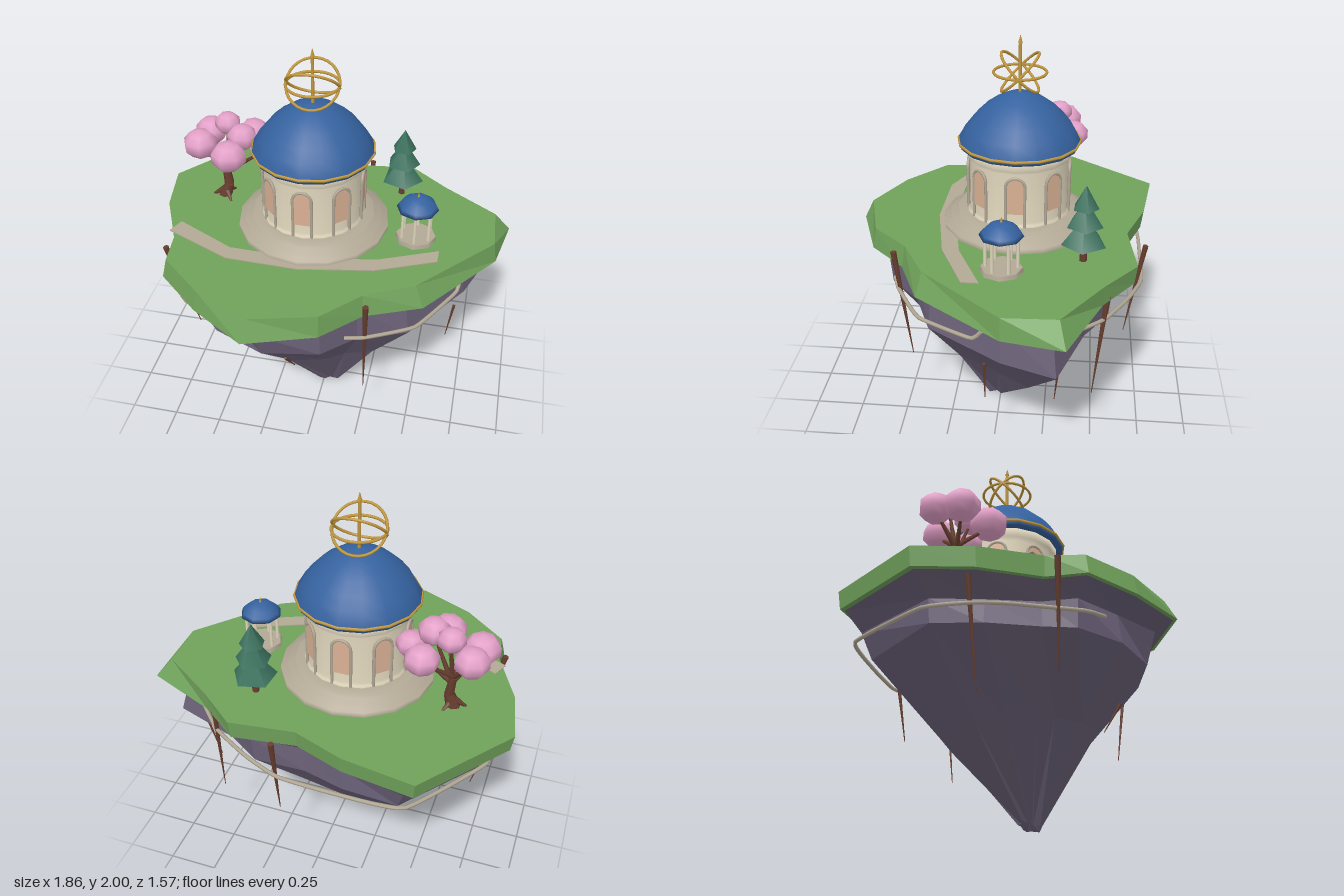
import * as THREE from 'three';

const mat = (name, color, extra = {}) => Object.assign(new THREE.MeshStandardMaterial({ color, ...extra }), { name });
const V = (a) => new THREE.Vector3(...a);
const wobble = (i, k) => Math.sin(i * 12.9 + k * 7.3);

export function createModel() {
  const root = new THREE.Group();
  root.name = 'floatingIsland';
  const M = {
    grass: mat('grass', 0x70a25b, { flatShading: true }),
    rock: mat('rock', 0x6b6178, { flatShading: true }),
    cream: mat('cream wall', 0xe2d8be),
    stone: mat('grey stone', 0xb2a895, { side: THREE.DoubleSide }),
    door: mat('tan panel', 0xd9b193),
    blue: mat('blue roof', 0x35629f, { side: THREE.DoubleSide }),
    gold: mat('gold', 0xc2983e),
    pink: mat('pink blossom', 0xe3a0c8),
    pine: mat('pine green', 0x3b715e),
    wood: mat('brown wood', 0x683e2f),
  };
  const add = (parent, name, geo, material, x = 0, y = 0, z = 0) => {
    const m = new THREE.Mesh(geo, material);
    m.name = name;
    m.position.set(x, y, z);
    parent.add(m);
    return m;
  };
  const group = (name, x = 0, y = 0, z = 0) => {
    const g = new THREE.Group();
    g.name = name;
    g.position.set(x, y, z);
    root.add(g);
    return g;
  };
  // Tapered rod from a to b
  const rod = (parent, name, a, b, r0, r1, material) => {
    const p = V(a), q = V(b), d = q.clone().sub(p);
    const m = add(parent, name, new THREE.CylinderGeometry(r1, r0, d.length(), 6), material);
    m.position.copy(p).add(q).multiplyScalar(0.5);
    m.quaternion.setFromUnitVectors(new THREE.Vector3(0, 1, 0), d.normalize());
  };
  const lathe = (pts, sides) => new THREE.LatheGeometry(pts.map((p) => new THREE.Vector2(...p)), sides);
  // Faceted solid through rings listed from top to bottom, closed at both ends
  const loft = (rings, topC, botC) => {
    const out = [], n = rings[0].length, last = rings[rings.length - 1];
    const tri = (...t) => t.forEach((p) => out.push(...p));
    for (let i = 0; i < n; i++) {
      const j = (i + 1) % n;
      tri(topC, rings[0][j], rings[0][i]);
      for (let k = 0; k + 1 < rings.length; k++) {
        const a = rings[k], b = rings[k + 1];
        tri(a[i], a[j], b[i]);
        tri(a[j], b[j], b[i]);
      }
      tri(botC, last[i], last[j]);
    }
    const g = new THREE.BufferGeometry();
    g.setAttribute('position', new THREE.Float32BufferAttribute(out, 3));
    g.computeVertexNormals();
    return g;
  };

  // Island: one coastline, with the lip factor of the lawn at each corner
  const coast = [
    [-0.58, -0.79, 1], [-0.22, -0.735, 1], [0.035, -0.64, 1], [0.36, -0.68, 1], [0.565, -0.525, 0.99],
    [0.925, -0.36, 0.91], [0.87, -0.07, 0.98], [0.55, 0.36, 0.92], [0.28, 0.475, 0.96], [0.1, 0.66, 0.97], [-0.24, 0.78, 0.93],
    [-0.52, 0.61, 0.97], [-0.75, 0.41, 0.97], [-0.75, 0.22, 1], [-0.88, -0.06, 1], [-0.93, -0.34, 1],
  ];
  // Coastline scaled by one percentage per corner, at a wobbling height
  const ring = (y, dy, k, percents, off = 0) => coast.map(([x, z], i) => {
    const f = percents[i] / 100;
    return [x * f + off, y + dy * wobble(i, k), z * f + off];
  });
  const lawnTop = coast.map(([x, z, f]) => [x * f, 1.03, z * f]);
  const lip = coast.map(([x, z, f], i) => {
    const s = f < 0.985 ? 1 : 0.985;
    return [x * s, 0.93 + 0.012 * wobble(i, 2), z * s];
  });
  const rockTop = lip.map(([x, y, z]) => [x * 0.975, y - 0.002, z * 0.975]);
  add(root, 'lawn', loft([lawnTop, lip], [0, 1.03, 0], [0, 0.93, 0]), M.grass);
  add(root, 'rock', loft([
    rockTop,
    ring(0.86, 0.02, 5, [87, 84, 86, 84, 86, 84, 81, 84, 86, 86, 86, 83, 85, 86, 82, 84]),
    ring(0.715, 0.018, 3, [81, 84, 87, 82, 84, 89, 84, 88, 87, 86, 80, 86, 84, 88, 84, 83]),
    ring(0.4, 0.03, 4, [45, 48, 51, 45, 49, 53, 46, 51, 50, 47, 46, 50, 46, 52, 48, 49], 0.01),
    ring(0.022, 0.018, 2, [6, 5, 9, 5, 8, 8, 5, 10, 7, 5, 7, 9, 5, 10, 5, 8], 0.025),
  ], [0, 0.94, 0], [0.025, 0.05, 0.025]), M.rock);

  // Curved path across the lawn
  const mid = [[-0.77, 0.13], [-0.46, 0.285], [-0.09, 0.295], [0.28, 0.225], [0.57, 0.095]];
  const path = new THREE.Shape();
  mid.forEach(([x, z], i) => (i ? path.lineTo(x + 0.015, -z - 0.042) : path.moveTo(x - 0.02, -z - 0.042)));
  [...mid].reverse().forEach(([x, z]) => path.lineTo(x + 0.015, -z + 0.042));
  const pathGeo = new THREE.ExtrudeGeometry(path, { depth: 0.005, bevelEnabled: false });
  add(root, 'path', pathGeo.rotateX(-Math.PI / 2), M.stone, 0, 1.03, 0);

  // Temple: steps, drum, arches, dome
  const temple = group('temple', -0.085, 0, -0.08);
  const stairs = [0.39, 0.355, 0.315].flatMap((r, i) => [[r, 1.03 + i * 0.026], [r, 1.056 + i * 0.026]]);
  add(temple, 'steps', lathe([...stairs, [0.25, 1.108]], 16), M.stone);
  add(temple, 'drum', lathe([[0.268, 1.1], [0.266, 1.12], [0.256, 1.13], [0.25, 1.39], [0.265, 1.405], [0.268, 1.455], [0, 1.456]], 16), M.cream);
  add(temple, 'dome', lathe([[0.25, 1.45], [0.299, 1.453], [0.306, 1.478], [0.27, 1.542], [0.227, 1.597],
    [0.175, 1.647], [0.12, 1.686], [0.06, 1.714], [0, 1.724]], 16), M.blue);
  add(temple, 'domeBand', new THREE.TorusGeometry(0.304, 0.008, 6, 16).rotateX(Math.PI / 2).rotateY(Math.PI / 2), M.gold, 0, 1.475, 0);

  const panel = new THREE.Shape();
  panel.moveTo(-0.04, 1.18);
  panel.lineTo(0.04, 1.18);
  panel.lineTo(0.04, 1.325);
  panel.absarc(0, 1.325, 0.04, 0, Math.PI);
  const panelGeo = new THREE.ExtrudeGeometry(panel, { depth: 0.008, bevelEnabled: false });
  for (let k = 0; k < 8; k++) {
    const arch = new THREE.Group();
    arch.name = 'archedWindow';
    arch.rotation.y = k * Math.PI / 4;
    temple.add(arch);
    add(arch, 'windowPanel', panelGeo, M.door, 0, 0, 0.25);
    add(arch, 'archTop', new THREE.TorusGeometry(0.047, 0.008, 6, 10, Math.PI), M.stone, 0, 1.325, 0.256);
    for (const s of [-1, 1]) rod(arch, 'archPost', [s * 0.047, 1.11, 0.256], [s * 0.047, 1.325, 0.256], 0.008, 0.008, M.stone);
  }

  // Ringed finial
  for (const tilt of [0, Math.PI / 4, -Math.PI / 4]) {
    add(temple, 'finialRing', new THREE.TorusGeometry(0.129, 0.007, 6, 28).rotateX(Math.PI / 2 + tilt), M.gold, 0, 1.82, 0);
  }
  rod(temple, 'finialPole', [0, 1.71, 0], [0, 1.96, 0], 0.008, 0.008, M.gold);
  rod(temple, 'finialTip', [0, 1.96, 0], [0, 2, 0], 0.011, 0.001, M.gold);

  // Small pavilion
  const pav = group('pavilion', 0.455, 0, -0.04);
  add(pav, 'pavilionBase', new THREE.CylinderGeometry(0.1, 0.105, 0.022, 8), M.stone, 0, 1.04, 0);
  for (let i = 0; i < 6; i++) {
    const a = (i + 0.5) * Math.PI / 3, x = 0.077 * Math.cos(a), z = 0.077 * Math.sin(a);
    rod(pav, 'pavilionColumn', [x, 1.05, z], [x, 1.215, z], 0.009, 0.008, M.cream);
  }
  add(pav, 'pavilionBeam', new THREE.CylinderGeometry(0.088, 0.088, 0.014, 8), M.cream, 0, 1.21, 0);
  add(pav, 'pavilionDome', lathe([[0, 1.214], [0.106, 1.215], [0.095, 1.235], [0.07, 1.26], [0.037, 1.28], [0, 1.286]], 8), M.blue);
  rod(pav, 'pavilionTip', [0, 1.28, 0], [0, 1.31, 0], 0.008, 0.001, M.gold);

  // Pine tree
  const pine = group('pineTree', 0.328, 0, -0.42);
  rod(pine, 'pineTrunk', [0, 1.03, 0], [0, 1.16, 0], 0.018, 0.014, M.wood);
  [[0.112, 1.125, 1.27], [0.09, 1.22, 1.355], [0.064, 1.31, 1.425]].forEach(([r, a, b], i) =>
    add(pine, 'pineTier', new THREE.ConeGeometry(r, b - a, 5).rotateY(0.25 + i * 0.15), M.pine, 0, (a + b) / 2, 0));

  // Blossom tree: bent trunk, branches and leaf clumps
  const tree = group('blossomTree');
  const bend = [[-0.61, 1.02, -0.21], [-0.585, 1.1, -0.215], [-0.6, 1.21, -0.225]];
  rod(tree, 'trunk', bend[0], bend[1], 0.038, 0.026, M.wood);
  rod(tree, 'trunk', bend[1], bend[2], 0.026, 0.02, M.wood);
  for (const [x, z] of [[-0.67, -0.2], [-0.56, -0.15], [-0.57, -0.27]]) rod(tree, 'rootFoot', [-0.605, 1.07, -0.21], [x, 1.03, z], 0.02, 0.006, M.wood);
  [[-0.71, 1.36, -0.17, 0.092], [-0.69, 1.37, -0.3, 0.087], [-0.585, 1.445, -0.265, 0.07], [-0.47, 1.36, -0.34, 0.087],
    [-0.485, 1.42, -0.185, 0.08], [-0.53, 1.36, -0.08, 0.095], [-0.385, 1.345, -0.215, 0.074]].forEach(([x, y, z, r], i) => {
    rod(tree, 'branch', i % 2 ? bend[2] : [-0.595, 1.17, -0.222], [x, y - 0.02, z], 0.014, 0.006, M.wood);
    add(tree, 'blossom', new THREE.SphereGeometry(r, 7, 5).rotateY(i).scale(1, 0.83, 1), M.pink, x, y, z);
  });

  // Hanging roots
  [[[0.295, 1.01, 0.51], [0.285, 0.4, 0.44]], [[-0.775, 1.01, 0.28], [-0.64, 0.51, 0.26]],
    [[0.12, 1.01, -0.73], [0.13, 0.51, -0.65]], [[0.505, 0.95, -0.54], [0.52, 0.39, -0.49]],
    [[-0.84, 0.92, -0.1], [-0.715, 0.42, -0.08]], [[0.69, 0.66, 0.02], [0.66, 0.44, 0.02]],
    [[0.68, 0.69, -0.33], [0.62, 0.42, -0.31]], [[-0.11, 0.56, 0.485], [-0.085, 0.43, 0.4]],
  ].forEach(([a, b]) => rod(root, 'hangingRoot', a, b, a[1] > 0.8 ? 0.015 : 0.008, 0.002, M.wood));

  // Pale vines slung around the cliff
  [[[0.2, 0.81, 0.53], [0.295, 0.8, 0.495], [0.52, 0.785, 0.355], [0.69, 0.8, 0.08], [0.705, 0.85, 0.03]],
    [[0.69, 0.84, -0.35], [0.51, 0.82, -0.53], [0.3, 0.81, -0.65], [0.1, 0.8, -0.725], [-0.2, 0.79, -0.73], [-0.52, 0.79, -0.71],
      [-0.81, 0.79, -0.31], [-0.82, 0.79, -0.08], [-0.79, 0.79, 0.06], [-0.735, 0.79, 0.2], [-0.67, 0.785, 0.39], [-0.57, 0.8, 0.46]],
  ].forEach((pts) => {
    const curve = new THREE.CatmullRomCurve3(pts.map(V), false, 'catmullrom', 0.2);
    add(root, 'vine', new THREE.TubeGeometry(curve, pts.length * 5, 0.01, 6), M.stone);
  });

  return root;
}
